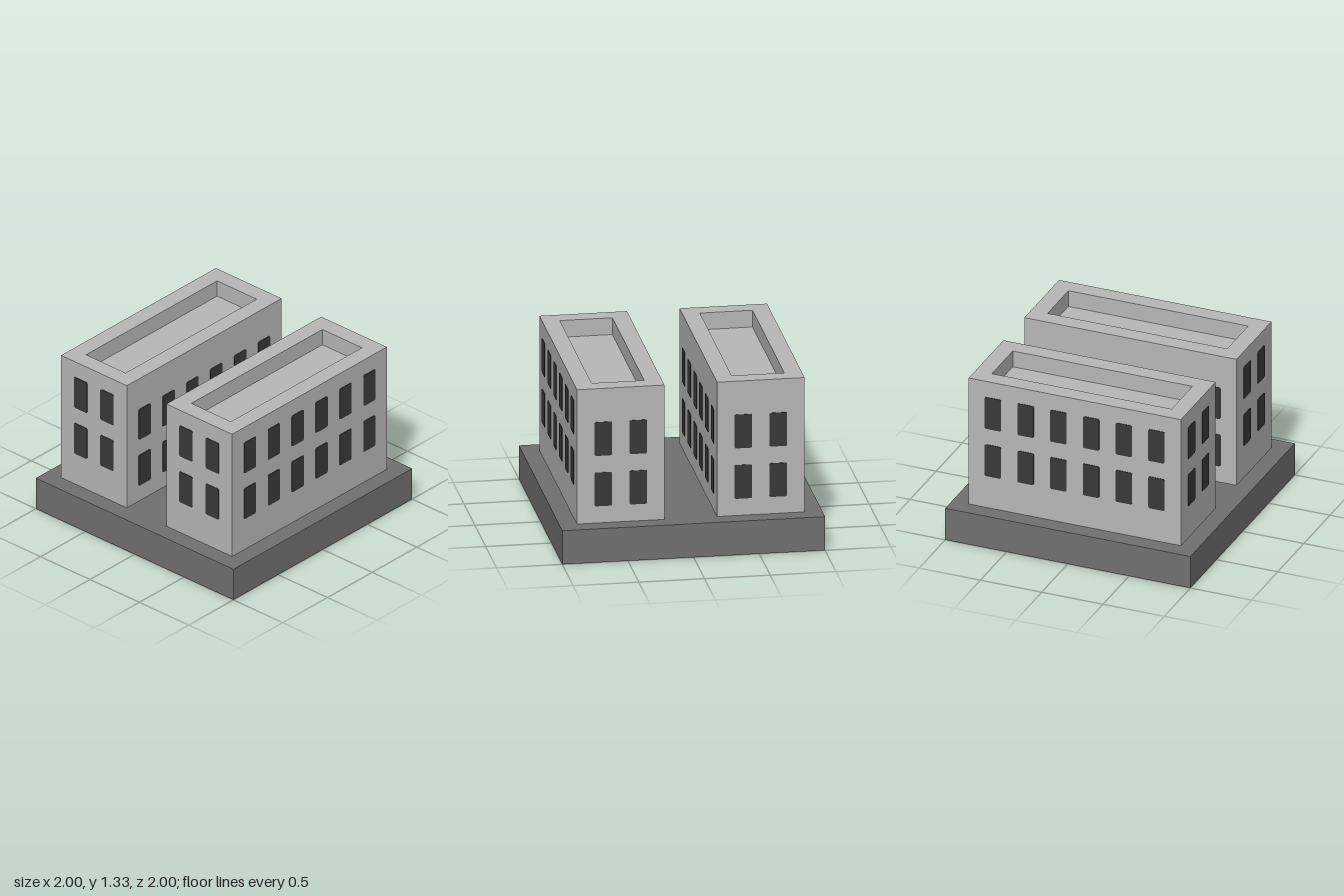
import * as THREE from 'three';

const BASE_H = 0.267, ROOF_Y = 1.333, RECESS = 0.133;
const TOWER_X = 0.533, HALF_W = 0.333, HALF_D = 0.866, RIM = 0.133;
const WIN_W = 0.133, WIN_H = 0.267, WIN_T = 0.004;

function material(name, color) {
  const m = new THREE.MeshStandardMaterial({ color });
  m.name = name;
  return m;
}

// Rectangle outline centred on the origin
function rectangle(PathType, halfW, halfH) {
  const p = new PathType();
  p.moveTo(-halfW, -halfH);
  p.lineTo(halfW, -halfH);
  p.lineTo(halfW, halfH);
  p.lineTo(-halfW, halfH);
  p.closePath();
  return p;
}

// Thin window plate with softly rounded corners, facing +z
function windowGeometry() {
  const w = WIN_W / 2, h = WIN_H / 2, r = 0.013;
  const s = new THREE.Shape();
  s.absarc(w - r, h - r, r, 0, Math.PI / 2);
  s.absarc(-w + r, h - r, r, Math.PI / 2, Math.PI);
  s.absarc(-w + r, -h + r, r, Math.PI, Math.PI * 1.5);
  s.absarc(w - r, -h + r, r, Math.PI * 1.5, Math.PI * 2);
  s.closePath();
  return new THREE.ExtrudeGeometry(s, { depth: WIN_T, bevelEnabled: false, curveSegments: 4 });
}

export function createModel() {
  const model = new THREE.Group();
  model.name = 'twinBuildings';
  const wall = material('light grey wall', 0xb8b8b8);
  const ground = material('dark grey base', 0x717171);
  const glass = material('charcoal window', 0x393939);

  function add(parent, name, geometry, mat, x = 0, y = 0, z = 0) {
    const mesh = new THREE.Mesh(geometry, mat);
    mesh.name = name;
    mesh.position.set(x, y, z);
    parent.add(mesh);
    return mesh;
  }

  add(model, 'base', new THREE.BoxGeometry(2, BASE_H, 2), ground, 0, BASE_H / 2, 0);

  // Block up to the sunken roof, then a parapet ring around it
  const blockH = ROOF_Y - RECESS - BASE_H;
  const blockGeo = new THREE.BoxGeometry(HALF_W * 2, blockH, HALF_D * 2);
  const ring = rectangle(THREE.Shape, HALF_W, HALF_D);
  ring.holes.push(rectangle(THREE.Path, HALF_W - RIM, HALF_D - RIM));
  const parapetGeo = new THREE.ExtrudeGeometry(ring, { depth: RECESS, bevelEnabled: false });
  parapetGeo.rotateX(-Math.PI / 2);
  const winGeo = windowGeometry();

  // Two rows of windows on one face; angle turns the face about y
  function windowWall(parent, name, angle, distance, columns, drop) {
    const face = new THREE.Group();
    face.name = name;
    face.rotation.y = angle;
    for (const rowY of [0.667, 1.067]) {
      for (let i = 0; i < columns; i++) {
        const x = (i - (columns - 1) / 2) * 0.267;
        add(face, 'window', winGeo, glass, x, rowY - drop, distance);
      }
    }
    parent.add(face);
  }

  for (const side of [1, -1]) {
    const tower = new THREE.Group();
    tower.name = side > 0 ? 'leftBuilding' : 'rightBuilding';
    tower.position.x = side * TOWER_X;
    add(tower, 'block', blockGeo, wall, 0, BASE_H + blockH / 2, 0);
    add(tower, 'parapet', parapetGeo, wall, 0, ROOF_Y - RECESS, 0);

    // Back and courtyard windows sit lower than the front and outer ones
    const lower = 0.133;
    windowWall(tower, 'frontWindows', 0, HALF_D, 2, 0);
    windowWall(tower, 'backWindows', Math.PI, HALF_D, 2, lower);
    windowWall(tower, 'outerWindows', side * Math.PI / 2, HALF_W, 6, 0);
    windowWall(tower, 'courtyardWindows', -side * Math.PI / 2, HALF_W, 6, lower);
    model.add(tower);
  }
  return model;
}
